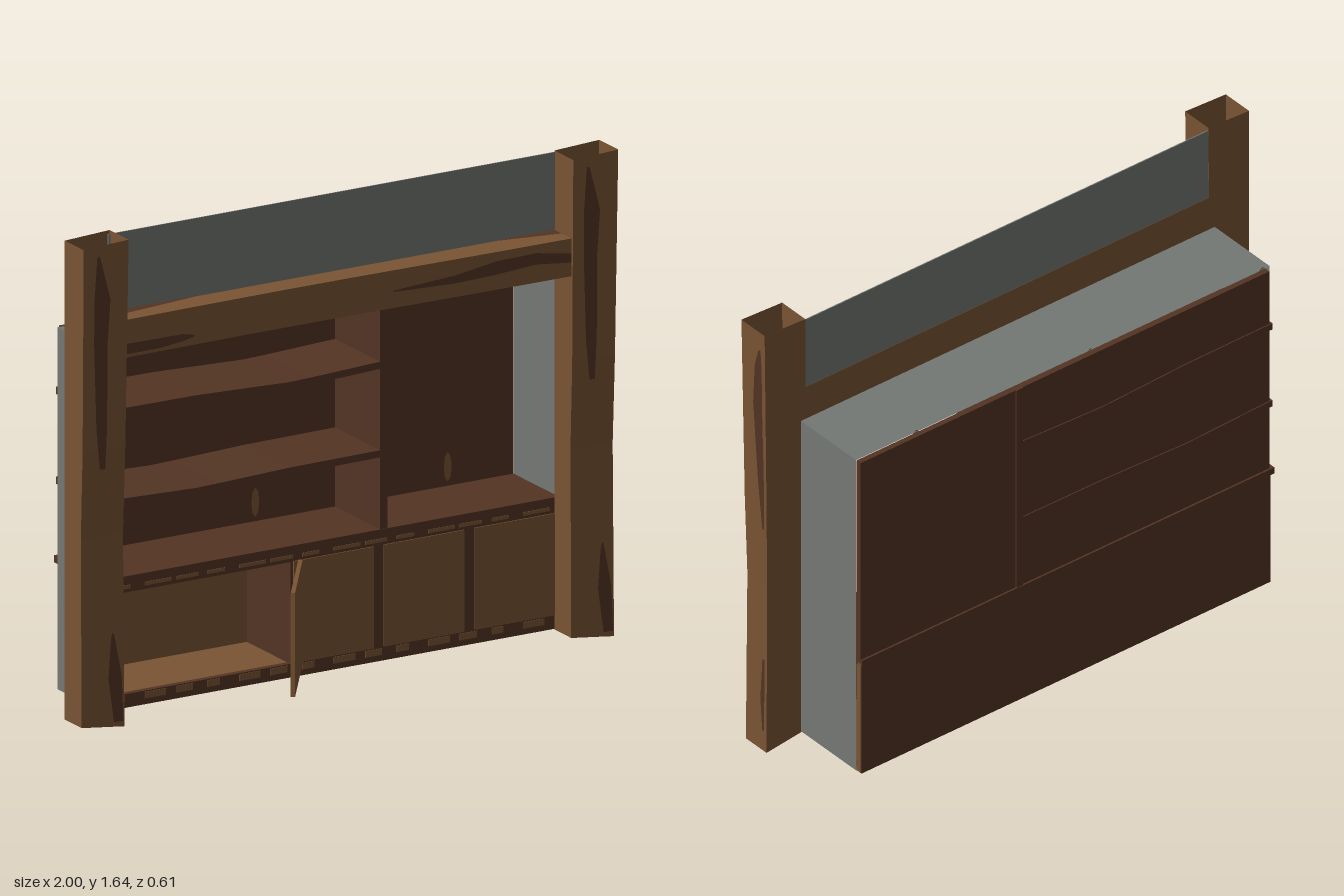
import * as THREE from 'three';

const DS = THREE.DoubleSide;
const mat = (name, color) => Object.assign(new THREE.MeshStandardMaterial({ color, flatShading: true, side: DS }), { name });

export function createModel() {
  const wood = mat('warm wood', 0x7a5433);
  const dark = mat('dark wood', 0x533423);
  const grey = mat('grey plaster', 0x747874);
  const root = new THREE.Group();
  root.name = 'builtInBookcase';

  const add = (name, geo, m, parent = root) => {
    const mesh = new THREE.Mesh(geo, m);
    mesh.name = name;
    parent.add(mesh);
    return mesh;
  };
  // box given by its limits on each axis
  const box = (name, m, [x0, x1], [y0, y1], [z0, z1], seg = 1) => {
    const g = new THREE.BoxGeometry(x1 - x0, y1 - y0, z1 - z0, seg, 1, 1);
    g.translate((x0 + x1) / 2, (y0 + y1) / 2, (z0 + z1) / 2);
    return add(name, g, m);
  };
  // surface lofted through rows of points
  const loft = (rows, closed) => {
    const n = rows[0].length, idx = [];
    for (let i = 0; i < rows.length - 1; i++) {
      for (let j = 0; j < (closed ? n : n - 1); j++) {
        const a = i * n + j, b = i * n + (j + 1) % n;
        idx.push(a, b, b + n, a, b + n, a + n);
      }
    }
    const g = new THREE.BufferGeometry();
    g.setAttribute('position', new THREE.Float32BufferAttribute(rows.flat(2), 3));
    g.setIndex(idx);
    const flat = g.toNonIndexed();
    flat.computeVertexNormals();
    return flat;
  };
  const interp = (table, t) => {
    for (let i = 1; i < table.length; i++) {
      const [a, va] = table[i - 1], [b, vb] = table[i];
      if (t <= b) return va + (vb - va) * (t - a) / (b - a);
    }
    return table[table.length - 1][1];
  };

  // Hollow, slightly crooked posts; both are the same piece
  const frontZ = [[0, 0.105], [0.65, 0.1], [0.95, 0.111], [1.64, 0.118]];
  const innerX = [[0, -0.84], [0.65, -0.842], [0.95, -0.84], [1.64, -0.832]];
  const upperGrain = [[0.88, 0.065, 0.085], [1.02, 0.05, 0.09], [1.3, 0.04, 0.09], [1.45, 0.04, 0.1], [1.6, 0.05, 0.06]];
  const lowerGrain = [[0.02, 0.12, 0.155], [0.17, 0.1, 0.15], [0.3, 0.11, 0.125], [0.32, 0.115, 0.12]];
  const sideUpper = [[0.87, 0.012, 0.02], [1.05, 0.01, 0.04], [1.35, 0.015, 0.06], [1.5, 0.015, 0.05], [1.57, 0.02, 0.03]];
  const sideLower = [[0.08, 0.012, 0.02], [0.2, 0.01, 0.03], [0.36, 0.01, 0.02]];
  for (const [name, dx] of [['rightPost', 0], ['leftPost', 1.832]]) {
    const post = new THREE.Group();
    post.name = name;
    post.position.x = dx;
    root.add(post);
    const rows = [0, 0.65, 0.95, 1.64].map((y) => {
      const x = interp(innerX, y), z = interp(frontZ, y);
      const yo = y === 0 ? 0.02 : y === 1.64 ? 1.632 : y;
      return [[-1, yo, z], [x, y, z], [x, y, 0], [-1, yo, 0]];
    });
    add('postShell', loft(rows, true), wood, post);
    for (const g of [upperGrain, lowerGrain]) {
      add('frontGrain', loft(g.map(([y, a, b]) => {
        const z = interp(frontZ, y) + 0.002;
        return [[a - 1, y, z], [b - 1, y, z]];
      })), dark, post);
    }
    for (const g of [sideUpper, sideLower]) {
      add('sideGrain', loft(g.map(([y, a, b]) => {
        const x = interp(innerX, y) + 0.002;
        return [[x, y, b], [x, y, a]];
      })), dark, post);
    }
  }

  // Lintel beam with a gently bowed front, and its grain
  const beam = box('beam', wood, [-0.87, 0.845], [1.238, 1.365], [0, 0.1], 8);
  const bp = beam.geometry.attributes.position;
  const beamFront = (x) => 0.1 + 0.006 * Math.sin(x * 3 - 0.9);
  for (let i = 0; i < bp.count; i++) if (bp.getZ(i) > 0.05) bp.setZ(i, beamFront(bp.getX(i)));
  beam.geometry.computeVertexNormals();
  const beamGrains = [
    [[-0.835, 1.25, 1.285], [-0.7, 1.25, 1.283], [-0.62, 1.258, 1.282], [-0.575, 1.266, 1.272]],
    [[0.17, 1.293, 1.298], [0.4, 1.285, 1.312], [0.55, 1.29, 1.335], [0.7, 1.3, 1.338], [0.83, 1.285, 1.315]],
  ];
  for (const g of beamGrains) {
    add('beamGrain', loft(g.map(([x, a, b]) => {
      const z = beamFront(x) + 0.003;
      return [[x, b, z], [x, a, z]];
    })), dark);
  }
  for (const [a, b] of [[-0.83, -0.5], [0.83, 0.6]]) {
    add('beamTopGrain', loft([[[a, 1.367, 0.05], [a, 1.367, 0.002]], [[b, 1.367, 0.008], [b, 1.367, 0.002]]]), dark);
  }

  // Wall panel above the beam
  box('upperWall', grey, [-0.84, 0.84], [1.36, 1.628], [0.001, 0.005]);

  // Recess shell, open at the front
  const shell = [[-0.858, 0.022], [0.85, 0.022], [0.85, 1.24], [-0.858, 1.24]];
  add('recessShell', loft([0, -0.28].map((z) => shell.map(([x, y]) => [x, y, z])), true), grey);
  box('backPanel', dark, [-0.84, 0.848], [0.45, 1.238], [-0.3, -0.28]);
  box('cabinetBack', wood, [-0.84, 0.848], [0.022, 0.45], [-0.3, -0.28]);
  box('cabinetBackPlate', dark, [-0.84, 0.848], [0.022, 0.46], [-0.305, -0.3]);

  // Small knots in the back panel
  const knots = [[-0.83, 0.53, 0.05], [-0.12, 0.53, 0.05], [0.6, 0.53, 0.05], [-0.83, 1.225, 0.02],
    [-0.12, 1.225, 0.02], [0.6, 1.225, 0.02], [-0.5, 0.69, 0.012], [-0.03, 0.69, 0.012]];
  for (const [x, y, h] of knots) {
    const g = new THREE.CircleGeometry(1, 8);
    g.scale(0.015, h, 1);
    g.translate(x, y, -0.277);
    add('knot', g, wood);
  }

  // Wavy shelves, upright divider and cabinet top
  const waves = [
    [[-0.85, 1.02], [-0.5, 1.018], [-0.15, 1.004], [0.18, 1.017]],
    [[-0.85, 0.718], [-0.5, 0.706], [-0.15, 0.717], [0.18, 0.719]],
  ];
  for (const wave of waves) {
    const shelf = box('shelf', dark, [-0.85, 0.18], [-0.012, 0.012], [-0.304, 0], 12);
    const p = shelf.geometry.attributes.position;
    for (let i = 0; i < p.count; i++) p.setY(i, p.getY(i) + interp(wave, p.getX(i)));
    shelf.geometry.computeVertexNormals();
  }
  box('divider', dark, [0.18, 0.208], [0.46, 1.238], [-0.304, 0]);
  box('cabinetTop', dark, [-0.856, 0.848], [0.442, 0.465], [-0.307, 0.002]);

  // Cabinet interior and face frame
  box('cabinetFloor', wood, [-0.85, 0.845], [0.03, 0.064], [-0.28, -0.02]);
  box('cabinetEndWall', dark, [-0.855, -0.835], [0.03, 0.44], [-0.28, -0.02]);
  box('cabinetPartition', dark, [-0.15, -0.135], [0.064, 0.44], [-0.28, -0.02]);
  box('bottomRail', dark, [-0.85, 0.845], [0.022, 0.068], [-0.02, 0]);
  box('topRail', dark, [-0.85, 0.845], [0.41, 0.442], [-0.02, 0]);
  for (const [a, b] of [[-0.85, -0.81], [-0.155, -0.14], [0.15, 0.195], [0.49, 0.535], [0.835, 0.845]]) {
    box('stile', dark, [a, b], [0.068, 0.41], [-0.02, 0]);
  }
  // Worn light patches along the rails
  for (let i = 0; i < 14; i++) {
    const x = -0.82 + i * 0.118, w = 0.045 + 0.035 * ((i * 5) % 3) / 2;
    box('bottomRailPatch', wood, [x, x + w], [0.042, 0.064], [0, 0.002]);
    box('topRailPatch', wood, [x, x + w + 0.02], [0.422, 0.434], [0, 0.002]);
  }

  // Three closed doors and one standing open
  for (const [a, b] of [[-0.145, 0.155], [0.193, 0.493], [0.533, 0.835]]) {
    box('closedDoor', wood, [a, b], [0.07, 0.412], [-0.015, 0.004]);
  }
  const door = new THREE.BoxGeometry(0.35, 0.35, 0.014);
  door.translate(-0.175, 0.242, 0);
  const open = add('openDoor', door, wood);
  open.position.set(-0.125, 0, 0.012);
  open.rotation.y = Math.atan2(0.285, 0.2);

  return root;
}
